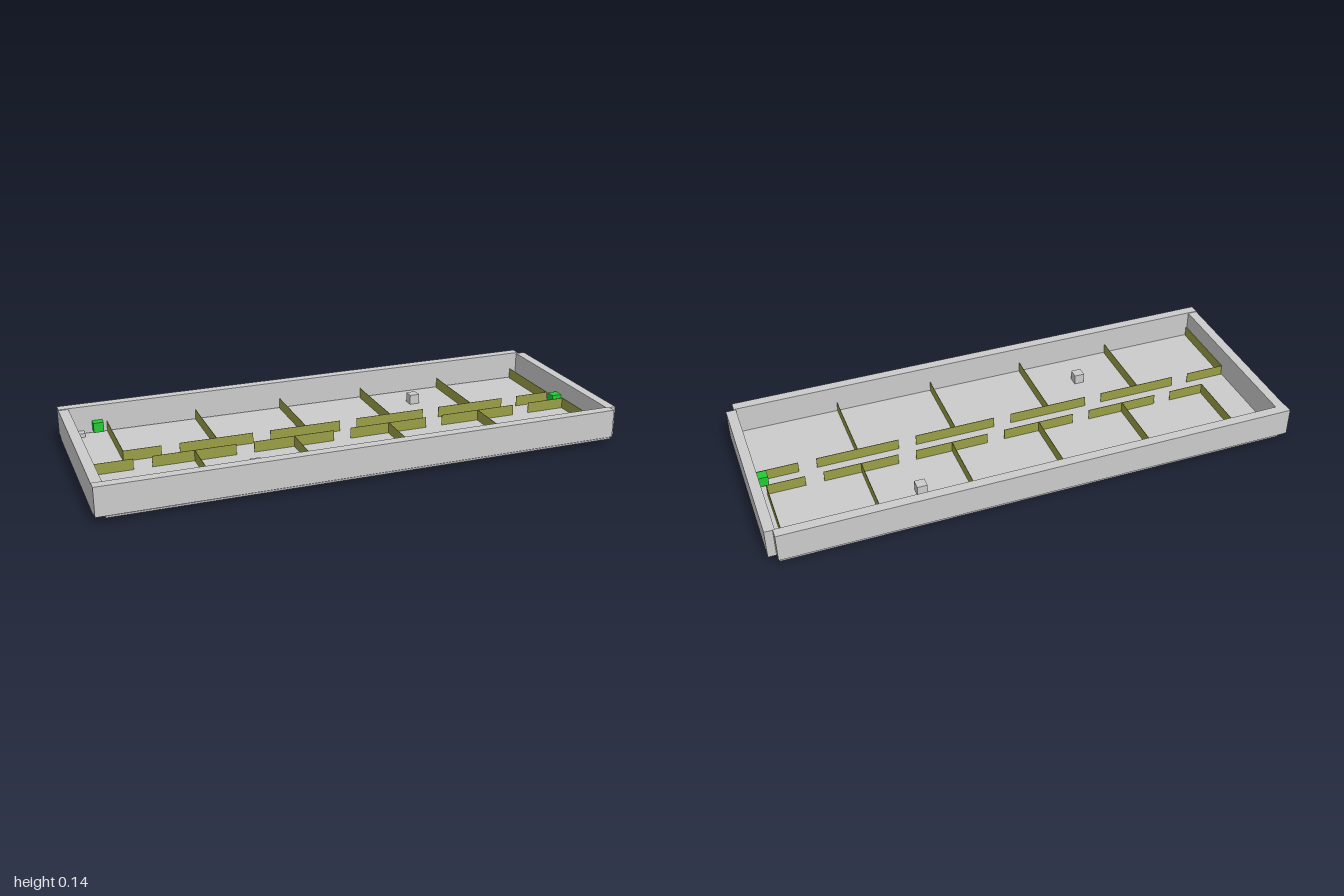
import * as THREE from 'three';

export function createModel() {
  const model = new THREE.Group();
  const grey = new THREE.MeshStandardMaterial({ color: 0xcccccc });
  const olive = new THREE.MeshStandardMaterial({ color: 0x9a9f45 });
  const green = new THREE.MeshStandardMaterial({ color: 0x22cc33 });

  // box given by its minimum and maximum on each axis
  function box(name, [x0, x1], [y0, y1], [z0, z1], material = grey) {
    const mesh = new THREE.Mesh(new THREE.BoxGeometry(x1 - x0, y1 - y0, z1 - z0), material);
    mesh.position.set((x0 + x1) / 2, (y0 + y1) / 2, (z0 + z1) / 2);
    mesh.name = name;
    model.add(mesh);
  }

  // floor slab and outer walls
  box('floor', [-0.965, 0.965], [0.018, 0.024], [-0.39, 0.39]);
  box('frontWall', [-1, 0.97], [0.027, 0.136], [0.356, 0.394]);
  box('backWall', [-1, 0.97], [0.027, 0.136], [-0.394, -0.356]);
  box('rightWall', [-1, -0.962], [0.018, 0.133], [-0.356, 0.356]);
  box('leftWall', [0.962, 1], [0.018, 0.133], [-0.356, 0.356]);

  // thin partitions: a corridor wall with a doorway in the middle of each room,
  // and cross walls running from it to the outer wall
  const low = 0.024, high = 0.066, t = 0.001, door = 0.034;
  function roomRow(name, start, end, rooms, corridorZ, outerZ) {
    const width = (end - start) / rooms;
    const zSpan = [Math.min(corridorZ, outerZ), Math.max(corridorZ, outerZ)];
    for (let i = 0; i <= rooms; i++) {
      const x = start + i * width;
      const x0 = i === 0 ? x : x - width / 2 + door;
      const x1 = i === rooms ? x : x + width / 2 - door;
      box(name + 'CorridorWall', [x0, x1], [low, high], [corridorZ - t, corridorZ + t], olive);
      box(name + 'CrossWall', [x - t, x + t], [low, high], zSpan, olive);
    }
  }
  roomRow('front', -0.958, 0.958, 5, 0.045, 0.356);
  roomRow('back', -0.82, 0.935, 5, -0.04, -0.356);

  // small marker cubes
  function cube(name, x, y, z, material) {
    const h = 0.0195;
    box(name, [x - h, x + h], [y, y + 2 * h], [z - h, z + h], material);
  }
  cube('cornerCube', -0.93, 0, -0.344, grey);
  cube('backRoomCube', 0.413, 0.026, -0.223, grey);
  cube('frontRoomCube', -0.389, 0.026, 0.21, grey);
  cube('greenCornerCube', -0.858, 0.037, -0.342, green);
  cube('greenEndCube', 0.94, 0.037, 0.012, green);

  return model;
}
